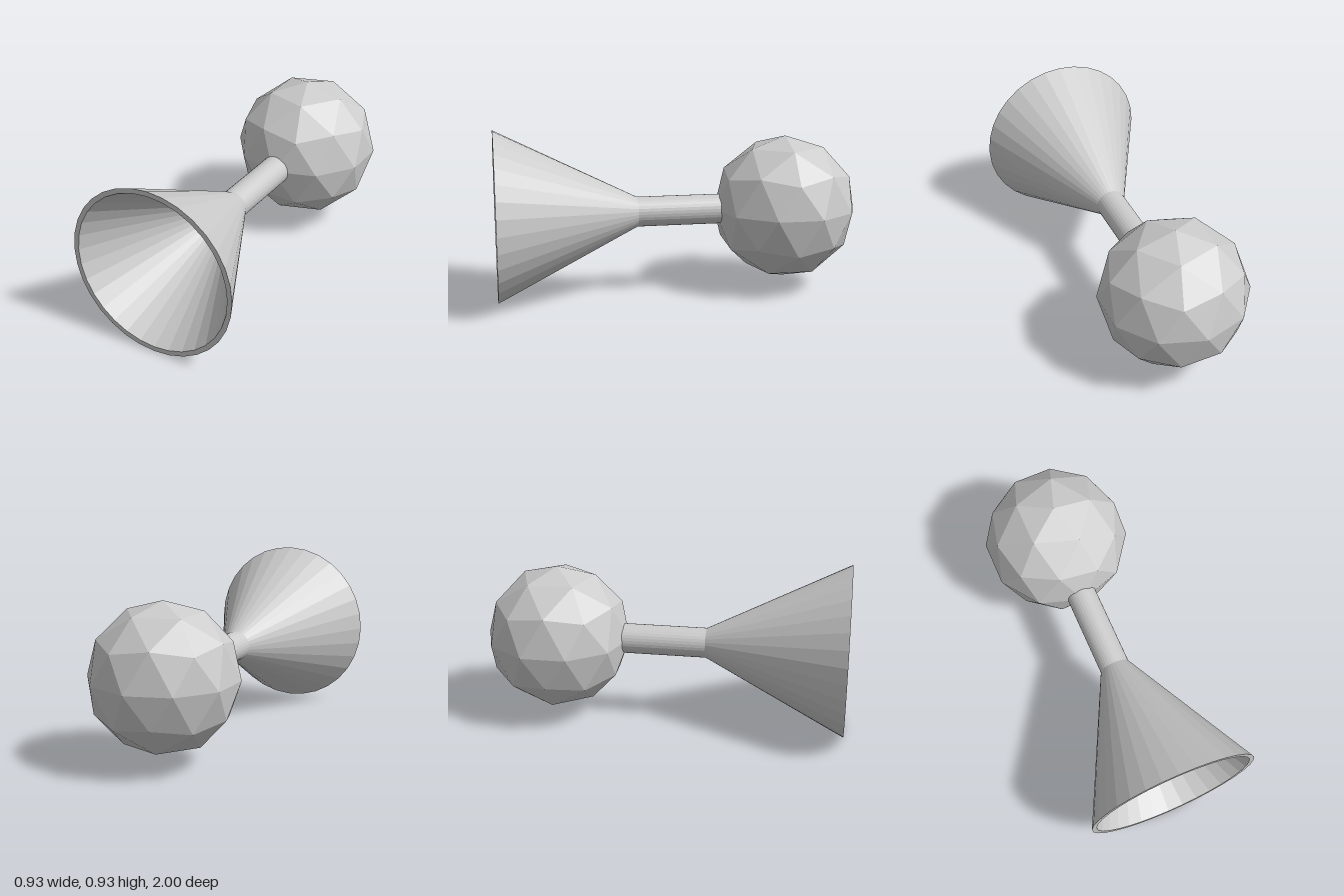
import * as THREE from 'three';

const AXIS_Y = 0.467;

export function createModel() {
  const group = new THREE.Group();
  const material = new THREE.MeshStandardMaterial({ color: 0xcccccc, flatShading: true });

  const add = (name, geometry, z = 0) => {
    const mesh = new THREE.Mesh(geometry, material);
    mesh.name = name;
    mesh.position.set(0, AXIS_Y, z);
    group.add(mesh);
  };

  // Turned part along z; the profile lists [radius, z]
  const turned = (profile) =>
    new THREE.LatheGeometry(profile.map(([r, z]) => new THREE.Vector2(r, z)), 32).rotateX(Math.PI / 2);

  // Flared horn with a flat rim and a hollow that narrows to a small floor
  add('horn', turned([[0.082, 0.23], [0.467, 1], [0.44, 1], [0.028, 0.27], [0, 0.27]]));

  // Straight neck, ending inside the bulb
  add('neck', turned([[0, -0.24], [0.082, -0.24], [0.082, 0.23]]));

  // Faceted bulb, turned so that one corner points straight up
  const phi = (1 + Math.sqrt(5)) / 2;
  add('bulb', new THREE.IcosahedronGeometry(0.4, 1).rotateZ(-Math.atan(1 / phi)), -0.6);

  return group;
}
